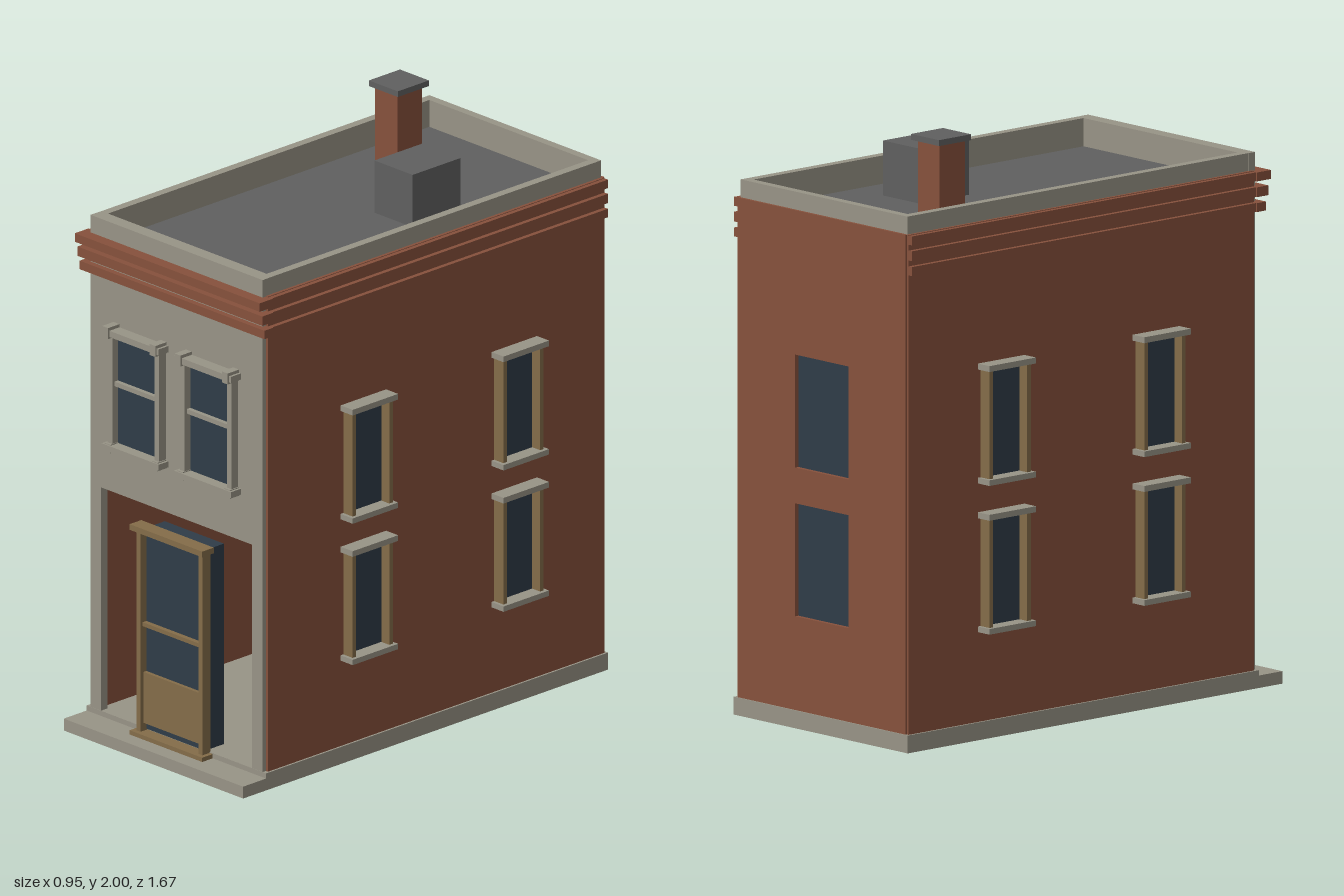
import * as THREE from 'three';

const mat = (name, color) => new THREE.MeshStandardMaterial({ name, color });

export function createModel() {
  const model = new THREE.Group();
  model.name = 'townhouse';
  const brick = mat('brick', 0x87513c);
  const stone = mat('stone', 0x989486);
  const wood = mat('tan wood', 0x846d49);
  const glass = mat('dark glass', 0x2f3c48);
  const roof = mat('roof grey', 0x606060);

  // box given by its minimum and maximum on each axis
  function box(name, m, x0, x1, y0, y1, z0, z1, parent = model) {
    const mesh = new THREE.Mesh(new THREE.BoxGeometry(x1 - x0, y1 - y0, z1 - z0), m);
    mesh.position.set((x0 + x1) / 2, (y0 + y1) / 2, (z0 + z1) / 2);
    mesh.name = name;
    parent.add(mesh);
    return mesh;
  }
  // upright panel with rectangular holes, rects as [x0, x1, y0, y1]
  const corners = ([x0, x1, y0, y1]) => [[x0, y0], [x1, y0], [x1, y1], [x0, y1]].map(p => new THREE.Vector2(...p));
  function panel(name, m, outer, holes, depth) {
    const shape = new THREE.Shape(corners(outer));
    holes.forEach(h => shape.holes.push(new THREE.Path(corners(h))));
    const mesh = new THREE.Mesh(new THREE.ExtrudeGeometry(shape, { depth, bevelEnabled: false }), m);
    mesh.name = name;
    model.add(mesh);
    return mesh;
  }

  // foundation and front step
  box('foundation', stone, -0.425, 0.425, 0, 0.06, -0.835, 0.73);
  box('frontStep', stone, -0.425, 0.425, 0, 0.042, 0.73, 0.835);

  // hollow shell: side walls, back wall with window holes, stone front with entrance
  const floors = [[0.375, 0.755], [0.875, 1.255]];
  for (const s of [-1, 1]) {
    const a = s * 0.38, b = s * 0.418;
    box('sideWall', brick, Math.min(a, b), Math.max(a, b), 0.06, 1.74, -0.825, 0.715);
  }
  panel('backWall', brick, [-0.41, 0.41, 0.06, 1.74],
    floors.map(([y0, y1]) => [-0.13, 0.13, y0, y1]), 0.035).position.z = -0.83;
  floors.forEach(([y0, y1]) => box('backWindow', glass, -0.13, 0.13, y0, y1, -0.815, -0.806));
  panel('frontWall', stone, [-0.408, 0.408, 0.06, 1.8], [[-0.358, 0.358, 0.0601, 0.85]], 0.03).position.z = 0.699;

  // roof deck inside a stone parapet
  box('roofDeck', roof, -0.378, 0.378, 1.67, 1.705, -0.795, 0.7);
  const parapet = panel('parapet', stone, [-0.407, 0.407, -0.725, 0.82], [[-0.376, 0.376, -0.68, 0.79]], 0.13);
  parapet.rotation.x = -Math.PI / 2;
  parapet.position.y = 1.67;

  // three brick cornice bands, each stepping further out
  [[1.605, 1.635, 0.75], [1.655, 1.688, 0.76], [1.708, 1.738, 0.772]].forEach(([y0, y1, z]) => {
    box('corniceFront', brick, -0.438, 0.438, y0, y1, 0.71, z);
    for (const s of [-1, 1])
      box('corniceSide', brick, s > 0 ? 0.41 : -0.434, s > 0 ? 0.434 : -0.41, y0, y1, -0.825, 0.712);
  });

  // chimney and roof hatch
  box('chimney', brick, -0.26, -0.155, 1.7, 1.98, -0.543, -0.43);
  box('chimneyCap', roof, -0.275, -0.138, 1.98, 2, -0.558, -0.416);
  box('roofHatch', roof, 0.054, 0.235, 1.7, 1.89, -0.342, -0.124);

  // side windows: deep wooden jambs between a stone lintel and sill
  function sideWindow(side, z, y0, y1) {
    const g = new THREE.Group();
    g.name = 'sideWindow';
    box('glass', glass, -0.085, 0.085, y0, y1, 0.416, 0.424, g);
    for (const s of [-1, 1]) {
      const a = s * 0.076, b = s * 0.092;
      box('jamb', wood, Math.min(a, b), Math.max(a, b), y0, y1, 0.41, 0.462, g);
    }
    box('lintel', stone, -0.104, 0.104, y1 - 0.01, y1 + 0.01, 0.41, 0.475, g);
    box('sill', stone, -0.104, 0.104, y0 - 0.013, y0 + 0.006, 0.41, 0.475, g);
    g.rotation.y = side * Math.PI / 2;
    g.position.z = z;
    model.add(g);
  }
  for (const side of [-1, 1])
    for (const z of [0.278, -0.412])
      floors.forEach(([y0, y1]) => sideWindow(side, z, y0, y1));

  // upper front windows with stone surrounds
  for (const x of [-0.173, 0.17]) {
    const g = new THREE.Group();
    g.name = 'frontWindow';
    box('glass', glass, -0.102, 0.102, 1.03, 1.425, 0.726, 0.734, g);
    box('middleRail', stone, -0.102, 0.102, 1.238, 1.254, 0.729, 0.75, g);
    for (const s of [-1, 1]) {
      const a = s * 0.1, b = s * 0.122;
      box('jamb', stone, Math.min(a, b), Math.max(a, b), 1.03, 1.425, 0.72, 0.76, g);
      const c = s * 0.112;
      box('lintelBlock', stone, c - 0.014, c + 0.014, 1.413, 1.452, 0.72, 0.781, g);
      box('sillBlock', stone, c - 0.014, c + 0.014, 1.006, 1.036, 0.72, 0.77, g);
    }
    box('lintel', stone, -0.135, 0.135, 1.419, 1.441, 0.72, 0.775, g);
    box('sill', stone, -0.135, 0.135, 1.012, 1.033, 0.72, 0.775, g);
    g.position.x = x;
    model.add(g);
  }

  // entrance door set before a glass vestibule
  const door = new THREE.Group();
  door.name = 'door';
  box('vestibule', glass, -0.14, 0.14, 0.061, 0.77, 0.648, 0.735, door);
  for (const s of [-1, 1]) {
    const a = s * 0.137, b = s * 0.157;
    box('doorJamb', wood, Math.min(a, b), Math.max(a, b), 0.045, 0.77, 0.725, 0.762, door);
  }
  box('doorPanel', wood, -0.138, 0.138, 0.085, 0.265, 0.73, 0.748, door);
  box('doorRail', wood, -0.138, 0.138, 0.428, 0.442, 0.73, 0.752, door);
  box('doorHeader', wood, -0.172, 0.172, 0.766, 0.786, 0.725, 0.778, door);
  box('threshold', wood, -0.172, 0.172, 0.042, 0.057, 0.728, 0.778, door);
  model.add(door);

  return model;
}
